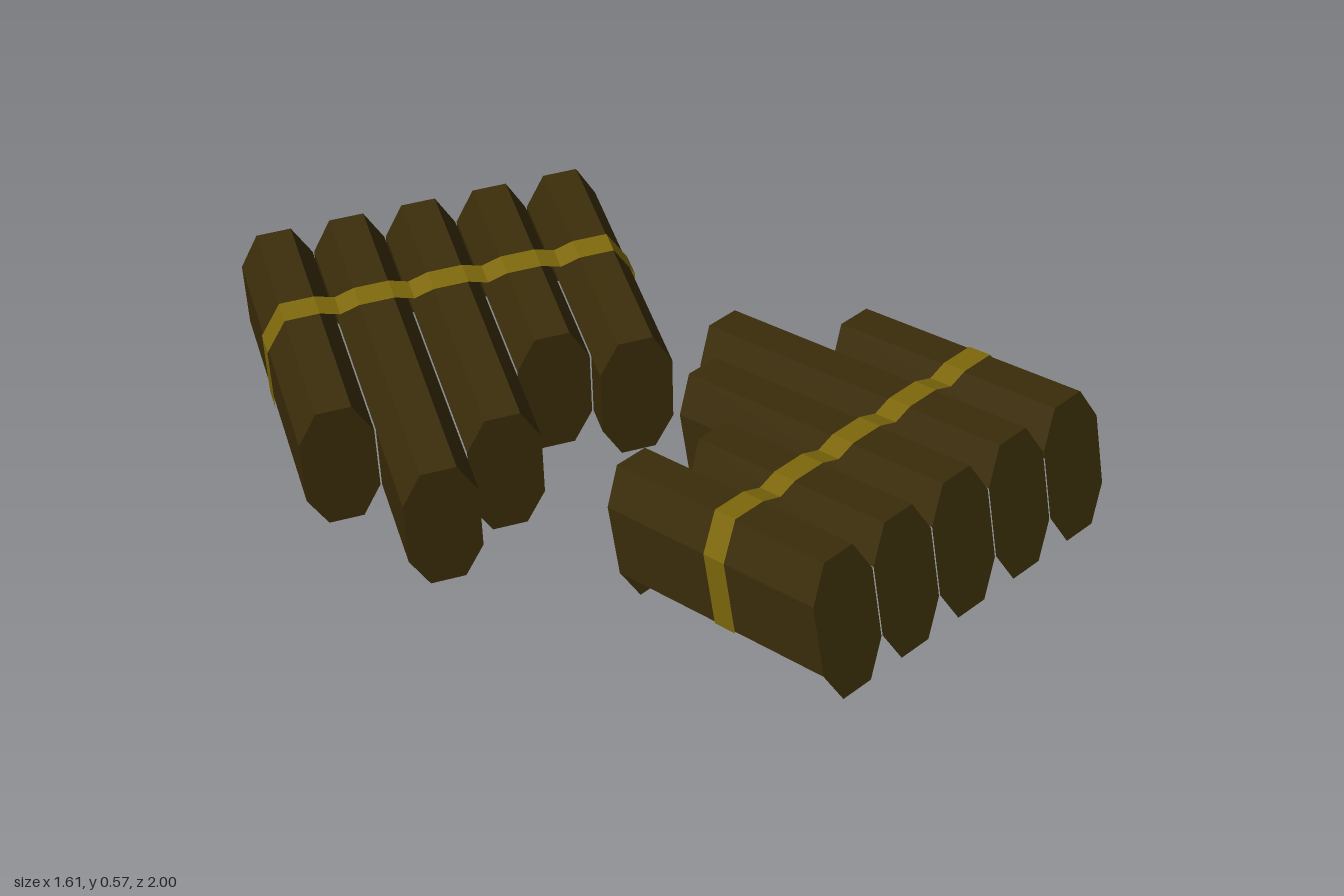
import * as THREE from 'three';

const STEP = 0.192;                       // spacing between neighbouring bars
const HW = 0.094, HH = 0.188;             // half width and height of a bar
const TOP = 0.045, SIDE = 0.095;          // half lengths of its flat top and flat side
const LENGTHS = [0.69, 0.61, 0.85, 0.98, 0.70];

const look = { flatShading: true, side: THREE.DoubleSide };
const barMaterial = new THREE.MeshStandardMaterial({ color: 0x3b2d0a, ...look });
const bandMaterial = new THREE.MeshStandardMaterial({ color: 0x7e680c, ...look });

// Open strip: a line of points, ordered right to left over the top, swept from z0 to z1
function strip(points, z0, z1, material, name) {
  const position = [];
  for (let i = 0; i < points.length - 1; i++) {
    const [ax, ay] = points[i], [bx, by] = points[i + 1];
    position.push(ax, ay, z0, ax, ay, z1, bx, by, z1);
    position.push(ax, ay, z0, bx, by, z1, bx, by, z0);
  }
  const geometry = new THREE.BufferGeometry();
  geometry.setAttribute('position', new THREE.Float32BufferAttribute(position, 3));
  geometry.scale(1, 1, -1);
  geometry.computeVertexNormals();
  const mesh = new THREE.Mesh(geometry, material);
  mesh.name = name;
  return mesh;
}

// Bar: top and chamfers, octagonal end caps, and sides only where no neighbour covers them
function createBar(i) {
  const bar = new THREE.Group();
  bar.name = `bar${i + 1}`;
  const length = LENGTHS[i];
  bar.add(strip([[HW, SIDE], [TOP, HH], [-TOP, HH], [-HW, SIDE]], length, 0, barMaterial, 'top'));

  for (const dir of [-1, 1]) {
    const covered = LENGTHS[i + dir] ?? 0;
    if (covered < length) {
      const side = [[dir * HW, -dir * SIDE], [dir * HW, dir * SIDE]];
      bar.add(strip(side, length, covered, barMaterial, 'side'));
    }
  }

  const octagon = new THREE.Shape([
    [-TOP, -HH], [TOP, -HH], [HW, -SIDE], [HW, SIDE],
    [TOP, HH], [-TOP, HH], [-HW, SIDE], [-HW, -SIDE],
  ].map(([x, y]) => new THREE.Vector2(x, y)));
  const outerCap = new THREE.Mesh(new THREE.ShapeGeometry(octagon), barMaterial);
  outerCap.name = 'outerCap';
  const innerCap = outerCap.clone();
  innerCap.name = 'innerCap';
  innerCap.rotation.y = Math.PI;
  innerCap.position.z = -length;
  bar.add(outerCap, innerCap);

  bar.position.x = (i - 2) * STEP;
  return bar;
}

// Five tall octagonal bars side by side, flush at one end, tied by a band
function createBundle(name) {
  const bundle = new THREE.Group();
  bundle.name = name;
  LENGTHS.forEach((length, i) => bundle.add(createBar(i)));

  // Band: wraps the sides and top, sagging a little between the bars
  const t = 0.005, edge = 2 * STEP + HW + t;
  const outline = [[edge, -SIDE], [edge, SIDE + t]];
  for (let i = 2; i >= -2; i--) {
    outline.push([i * STEP + TOP, HH + t], [i * STEP - TOP, HH + t]);
    if (i > -2) outline.push([(i - 0.5) * STEP, HH - 0.012]);
  }
  outline.push([-edge, SIDE + t], [-edge, -SIDE]);
  bundle.add(strip(outline, 0.351, 0.283, bandMaterial, 'band'));
  return bundle;
}

// Sets a bundle by the centre of its flush end, its axis and its row direction
function place(bundle, position, axis, row) {
  const z = new THREE.Vector3(...axis).normalize();
  const y = new THREE.Vector3().crossVectors(z, new THREE.Vector3(...row)).normalize();
  const x = new THREE.Vector3().crossVectors(y, z);
  bundle.quaternion.setFromRotationMatrix(new THREE.Matrix4().makeBasis(x, y, z));
  bundle.position.set(...position);
  return bundle;
}

export function createModel() {
  const model = new THREE.Group();
  model.name = 'barBundles';
  model.add(
    place(createBundle('frontBundle'), [0.325, 0.363, 0.879], [0.205, 0.17, 0.96], [0.98, 0.045, -0.2]),
    place(createBundle('backBundle'), [-0.175, 0.305, -0.88], [0.23, 0.11, -0.965], [-0.97, -0.055, -0.23]),
  );
  return model;
}
